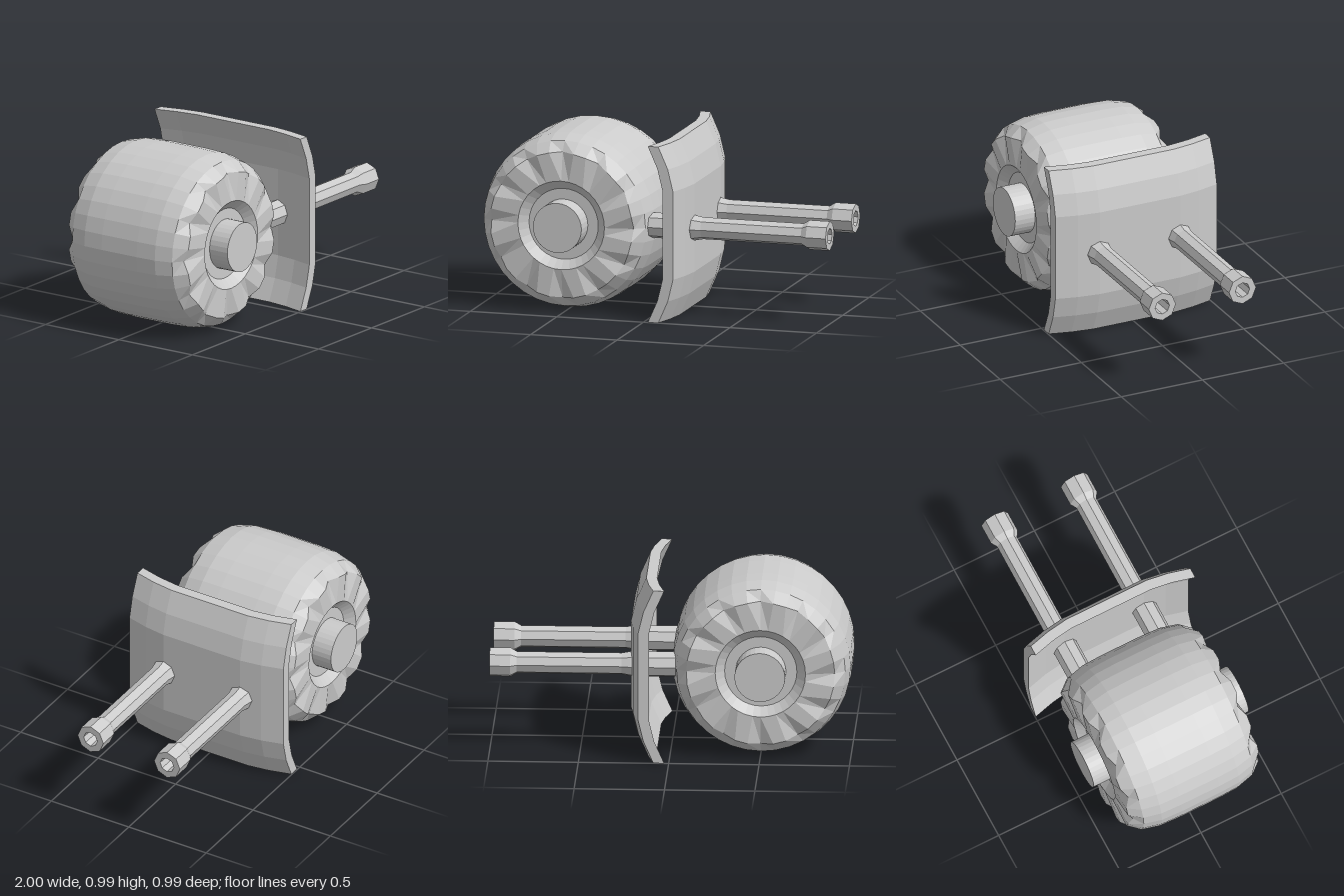
import * as THREE from 'three';

const MID = 0.497; // shared centre height
const grey = new THREE.MeshStandardMaterial({ color: 0xcccccc, flatShading: true });

function part(name, geometry, x, y, z) {
  const mesh = new THREE.Mesh(geometry, grey);
  mesh.name = name;
  mesh.position.set(x, y, z);
  return mesh;
}

const lathe = (profile, sides) =>
  new THREE.LatheGeometry(profile.map(([r, h]) => new THREE.Vector2(r, h)), sides);

// Barrel roller with dished ends and twelve V notches around each rim
function rollerGeometry() {
  const half = [[0, 0.36], [0.2, 0.36], [0.25, 0.407], [0.411, 0.407], [0.467, 0.34], [0.492, 0.24], [0.497, 0.12]];
  const profile = [
    ...half.map(([r, h]) => [r, -h]),
    ...half.slice().reverse(),
  ];
  const geometry = lathe(profile, 36);
  const pos = geometry.attributes.position;
  const count = profile.length;
  for (let i = 0; i <= 36; i += 3) {
    for (const j of [3, count - 4]) {
      const k = i * count + j;
      pos.setY(k, Math.sign(pos.getY(k)) * 0.378);
    }
  }
  return geometry.rotateX(Math.PI / 2);
}

// Shield plate, bent backwards towards all four edges
function plateGeometry() {
  const size = 0.994;
  const geometry = new THREE.BoxGeometry(0.06, size, size, 1, 8, 8);
  const pos = geometry.attributes.position;
  const bend = (v, near, far) => {
    const step = Math.round(Math.abs(v) / (size / 8));
    return step === 4 ? far : step === 3 ? near : 0;
  };
  for (let i = 0; i < pos.count; i++) {
    const dx = bend(pos.getY(i), 0.03, 0.085) + bend(pos.getZ(i), 0.018, 0.05);
    pos.setX(i, pos.getX(i) - dx);
  }
  return geometry;
}

// Octagonal rod with a collar at the plate and a hollow muzzle
function rodGeometry() {
  return lathe([
    [0, -0.12], [0.072, -0.12], [0.072, 0.22], [0.062, 0.27], [0.062, 0.85],
    [0.083, 0.885], [0.083, 1], [0.044, 1], [0.044, 0.88], [0, 0.88],
  ], 8).rotateZ(-Math.PI / 2);
}

export function createModel() {
  const model = new THREE.Group();
  model.name = 'shieldedTwinRodRoller';

  model.add(part('roller', rollerGeometry(), -0.503, MID, 0));
  const axle = new THREE.CylinderGeometry(0.14, 0.14, 0.964, 32).rotateX(Math.PI / 2);
  model.add(part('axle', axle, -0.503, MID, 0));
  model.add(part('shieldPlate', plateGeometry(), 0.19, MID, 0));

  const rod = rodGeometry();
  for (const [name, z] of [['frontRod', 0.247], ['backRod', -0.247]]) {
    model.add(part(name, rod, 0, MID, z));
  }
  return model;
}
